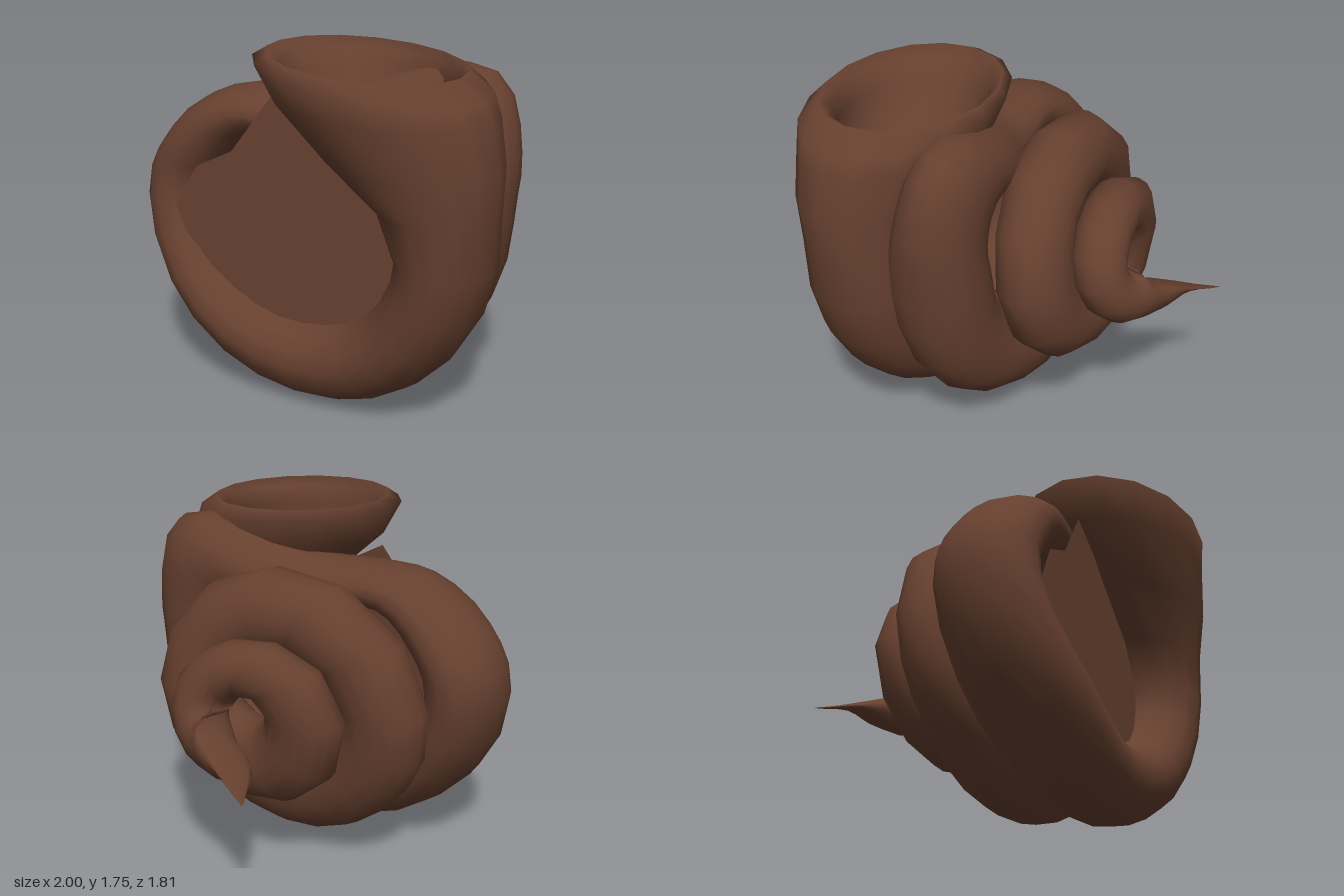
import * as THREE from 'three';

const AXIS_Y = 0.9; // height of the coiling axis, which runs along z
const SIDES = 16;
const RAD = Math.PI / 180;

// Mouth rings, from deep inside, over the lip and down the flared outside:
// [tilt in degrees, x, y, z, radius across, radius along z]
const MOUTH = [
  [0, 0.7, 1.0, 0.43, 0.001, 0.001],
  [0, 0.68, 1.08, 0.43, 0.13, 0.14],
  [0, 0.57, 1.25, 0.43, 0.27, 0.26],
  [-2, 0.44, 1.42, 0.42, 0.35, 0.31],
  [-4, 0.35, 1.58, 0.42, 0.38, 0.33],
  [-4, 0.32, 1.68, 0.42, 0.42, 0.36],
  [-4, 0.31, 1.72, 0.43, 0.48, 0.41],
  [-6, 0.34, 1.66, 0.44, 0.58, 0.46],
  [-2, 0.41, 1.52, 0.44, 0.55, 0.42],
  [0, 0.57, 1.29, 0.45, 0.43, 0.35],
  [0, 0.7, 1.08, 0.44, 0.285, 0.29],
];

// Coil keys: [turn in degrees, distance from axis, z, radius across, radius along z]
const COIL = [
  [-5, 0.745, 0.43, 0.23, 0.28],
  [-50, 0.725, 0.43, 0.205, 0.26],
  [-90, 0.695, 0.43, 0.205, 0.25],
  [-135, 0.71, 0.42, 0.19, 0.29],
  [-180, 0.81, 0.35, 0.19, 0.26],
  [-202, 0.75, 0.34, 0.18, 0.25],
  [-227, 0.64, 0.32, 0.145, 0.22],
  [-247, 0.5, 0.27, 0.155, 0.22],
  [-270, 0.42, 0.19, 0.19, 0.21],
  [-292, 0.54, 0.07, 0.21, 0.19],
  [-315, 0.76, -0.01, 0.27, 0.18],
  [-338, 0.69, 0.02, 0.26, 0.21],
  [-360, 0.61, 0.05, 0.25, 0.25],
  [-405, 0.61, 0.03, 0.25, 0.23],
  [-450, 0.57, 0.01, 0.25, 0.22],
  [-495, 0.56, 0.0, 0.25, 0.22],
  [-540, 0.58, -0.05, 0.23, 0.2],
  [-630, 0.41, -0.19, 0.22, 0.2],
  [-720, 0.36, -0.33, 0.21, 0.18],
  [-810, 0.32, -0.33, 0.21, 0.18],
  [-900, 0.36, -0.37, 0.21, 0.16],
  [-990, 0.18, -0.48, 0.16, 0.15],
  [-1080, 0.13, -0.56, 0.15, 0.14],
  [-1170, 0.12, -0.63, 0.15, 0.14],
  [-1204, 0.18, -0.68, 0.135, 0.125],
  [-1225.7, 0.27, -0.74, 0.105, 0.1],
  [-1234, 0.49, -0.91, 0.001, 0.001],
];

// Smoothly interpolates the coil keys and turns them into rings
function coilRings(perKey) {
  const path = new THREE.CatmullRomCurve3(
    COIL.map(k => new THREE.Vector3(k[0] * RAD, k[1], k[2])), false, 'catmullrom', 0.5);
  const size = new THREE.CatmullRomCurve3(
    COIL.map(k => new THREE.Vector3(k[3], k[4], 0)), false, 'catmullrom', 0.5);
  const count = (COIL.length - 1) * perKey;
  const rings = [];
  for (let i = 0; i <= count; i++) {
    const p = path.getPoint(i / count);
    const s = size.getPoint(i / count);
    rings.push([p.x / RAD, Math.cos(p.x) * p.y, AXIS_Y + Math.sin(p.x) * p.y, p.z, s.x, s.y]);
  }
  return rings;
}

// Skins a list of elliptical rings
function skin(rings) {
  const pos = [], index = [];
  rings.forEach(([deg, x, y, z, ru, rz], i) => {
    const c = Math.cos(deg * RAD), s = Math.sin(deg * RAD);
    for (let j = 0; j < SIDES; j++) {
      const a = (j / SIDES) * Math.PI * 2;
      const u = ru * Math.cos(a);
      pos.push(x + c * u, y + s * u, z + rz * Math.sin(a));
      if (i === rings.length - 1) continue;
      const k = (j + 1) % SIDES, r = i * SIDES, n = r + SIDES;
      index.push(r + j, r + k, n + j, r + k, n + k, n + j);
    }
  });
  const geo = new THREE.BufferGeometry();
  geo.setAttribute('position', new THREE.Float32BufferAttribute(pos, 3));
  geo.setIndex(index);
  geo.computeVertexNormals();
  return geo;
}

export function createModel() {
  const group = new THREE.Group();
  group.name = 'spiralShell';
  const brown = new THREE.MeshStandardMaterial({ color: 0x66402f, side: THREE.DoubleSide });
  brown.name = 'shell brown';

  // Flared mouth and coil, one continuous tapering tube
  const coil = new THREE.Mesh(skin([...MOUTH, ...coilRings(3)]), brown);
  coil.name = 'mouthAndCoil';
  group.add(coil);

  // Flat wall closing the middle of the front whorl, turned slightly up and to its left
  const outline = [[-0.72, 0.9], [-0.6, 1.1], [-0.4, 1.2], [-0.17, 1.51], [0.35, 1.22],
    [0.7, 0.95], [0.5, 0.45], [0.05, 0.25], [-0.4, 0.4], [-0.65, 0.65]];
  const wallGeo = new THREE.ShapeGeometry(
    new THREE.Shape(outline.map(p => new THREE.Vector2(...p))));
  const p = wallGeo.attributes.position;
  for (let i = 0; i < p.count; i++) p.setZ(i, 0.55 - 0.11 * p.getX(i) - 0.05 * p.getY(i));
  wallGeo.computeVertexNormals();
  const wall = new THREE.Mesh(wallGeo, brown);
  wall.name = 'frontWall';
  group.add(wall);

  return group;
}
